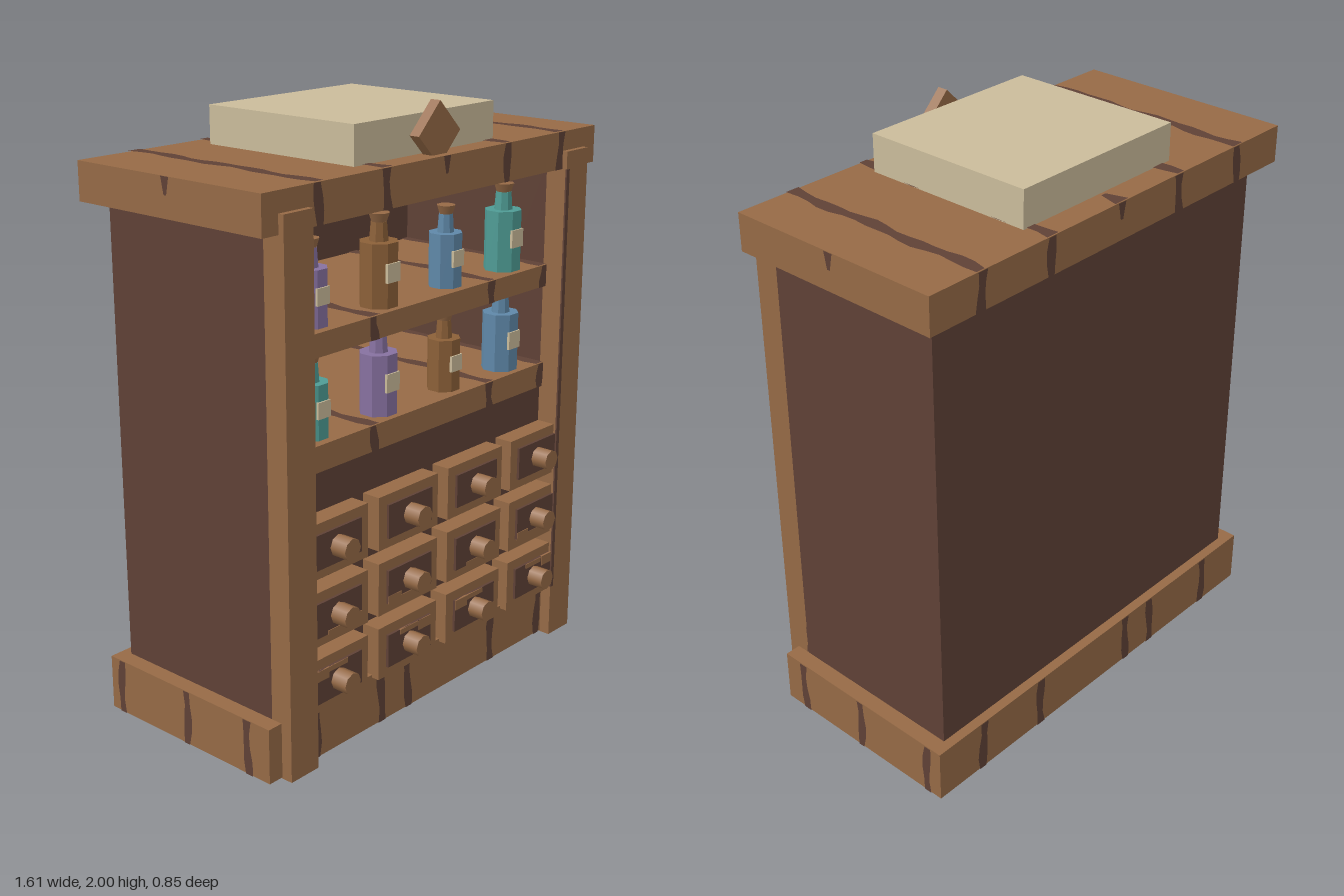
import * as THREE from 'three';

const mat = (name, color) => {
  const m = new THREE.MeshStandardMaterial({ color });
  m.name = name;
  return m;
};

export function createModel() {
  const wood = mat('wood', 0x966a46), dark = mat('dark wood', 0x5f4136), cream = mat('cream', 0xcbbc9b);
  const glass = {
    teal: mat('teal glass', 0x4f9c95), purple: mat('purple glass', 0x8771a0),
    amber: mat('amber glass', 0x8c6038), blue: mat('blue glass', 0x5f88a8),
  };
  for (const m of Object.values(glass)) m.flatShading = true;
  const model = new THREE.Group();
  model.name = 'apothecaryCabinet';

  const add = (name, geo, material, parent = model) => {
    const m = new THREE.Mesh(geo, material);
    m.name = name;
    parent.add(m);
    return m;
  };
  // Box given by its lower and upper corners
  const box = (name, material, x0, x1, y0, y1, z0, z1, parent) => {
    const m = add(name, new THREE.BoxGeometry(x1 - x0, y1 - y0, z1 - z0), material, parent);
    m.position.set((x0 + x1) / 2, (y0 + y1) / 2, (z0 + z1) / 2);
    return m;
  };
  // Wavy dark grain strip of given length, centred, standing along y and facing +z
  const grain = (length, width, seed) => {
    const n = Math.max(3, Math.ceil(length / 0.05)), left = [], right = [];
    for (let i = 0; i <= n; i++) {
      const y = (i / n - 0.5) * length, c = 0.006 * Math.sin(seed + i * 0.9);
      const w = width / 2 * (1 + 0.25 * Math.sin(seed * 3 + i * 1.7));
      left.push(new THREE.Vector2(c - w, y));
      right.unshift(new THREE.Vector2(c + w, y));
    }
    return new THREE.ShapeGeometry(new THREE.Shape([...right.reverse(), ...left.reverse()]));
  };
  const E = 0.003;
  const rows = [-0.575, -0.278, 0.31, 0.6];
  const frontGrain = (xs, y0, y1, z, back = false) => xs.forEach((x, i) => {
    const m = add('grain', grain(y1 - y0, 0.034, i + y0), dark);
    m.position.set(x, (y0 + y1) / 2, z + (back ? -E : E));
    if (back) m.rotation.y = Math.PI;
  });
  const topGrain = (xs, y, z0, z1) => xs.forEach((x, i) => {
    const m = add('grain', grain(z1 - z0, 0.04, i + y), dark);
    m.rotation.x = -Math.PI / 2;
    m.position.set(x, y + E, (z0 + z1) / 2);
  });
  const notch = (w, h) => new THREE.ShapeGeometry(new THREE.Shape([
    new THREE.Vector2(-w / 2, 0), new THREE.Vector2(-w / 6, -h),
    new THREE.Vector2(w / 6, -h), new THREE.Vector2(w / 2, 0)]));

  // Carcass
  for (const s of [-1, 1]) {
    const a = s * 0.615, b = s * 0.735;
    box('sidePanel', dark, Math.min(a, b), Math.max(a, b), 0.02, 1.72, -0.365, 0.29);
    box('frontPost', wood, Math.min(a, b), Math.max(a, b), 0, 1.77, 0.28, 0.37);
  }
  box('backPanel', dark, -0.62, 0.62, 0.1, 1.72, -0.365, -0.32);
  box('drawerCase', dark, -0.62, 0.62, 0.1, 0.94, -0.33, 0.29);
  box('postGrain', dark, 0.614, 0.63, 0.19, 1.71, 0.366, 0.372);

  // Base
  box('base', wood, -0.79, 0.79, 0.004, 0.19, -0.4, 0.33);
  box('underside', dark, -0.76, 0.76, 0, 0.005, -0.37, 0.3);
  const baseGrain = [-0.585, -0.275, -0.14, 0.31, 0.59];
  frontGrain(baseGrain, 0.004, 0.19, 0.33);
  frontGrain(baseGrain, 0.004, 0.19, -0.4, true);
  for (const s of [-1, 1]) for (const z of [0.24, -0.035, -0.345]) {
    const m = add('grain', grain(0.186, 0.03, z * 9), dark);
    m.rotation.y = s * Math.PI / 2;
    m.position.set(s * (0.79 + E), 0.097, z);
  }

  // Cornice
  box('cornice', wood, -0.8, 0.8, 1.71, 1.835, -0.425, 0.35);
  frontGrain(rows, 1.71, 1.835, 0.35);
  frontGrain(rows, 1.71, 1.835, -0.425, true);
  topGrain(rows, 1.835, -0.425, 0.35);
  const marks = [[0, 0.353, 0], [0, -0.428, Math.PI], [0.803, -0.035, Math.PI / 2], [-0.803, -0.035, -Math.PI / 2]];
  for (const [x, z, turn] of marks) {
    const m = add('grainNotch', notch(0.034, 0.055), dark);
    m.position.set(x, 1.835, z);
    m.rotation.y = turn;
  }
  const topNotch = add('grainNotch', notch(0.06, 0.07), dark);
  topNotch.rotation.x = -Math.PI / 2;
  topNotch.position.set(0, 1.835 + E, -0.425);

  // Crown block and diamond ornament
  box('crownBlock', cream, -0.335, 0.335, 1.835, 1.96, -0.34, 0.27);
  const diamond = add('diamond', new THREE.BoxGeometry(0.141, 0.141, 0.037), wood);
  diamond.position.set(0, 1.9, 0.303);
  diamond.rotation.z = Math.PI / 4;

  // Shelves
  for (const [y0, y1] of [[0.94, 1.025], [1.3, 1.375]]) {
    box('shelf', wood, -0.615, 0.615, y0, y1, -0.32, 0.3);
    frontGrain(rows, y0, y1, 0.3);
    topGrain(rows, y1, -0.32, 0.3);
  }

  // Drawers with raised dark panels and round knobs
  const knobGeo = new THREE.CylinderGeometry(0.036, 0.036, 0.06, 8);
  [0.72, 0.495, 0.27].forEach((y, r) => [-0.514, -0.172, 0.171, 0.512].forEach((x, c) => {
    const d = new THREE.Group();
    d.name = 'drawer';
    d.position.set(x, y, 0);
    model.add(d);
    box('drawerFront', wood, -0.145, 0.145, -0.09, 0.09, 0.28, 0.357, d);
    box('drawerPanel', dark, -0.107, 0.107, -0.057, 0.057, 0.35, 0.366, d);
    if (r > 0) {
      // Patches of lighter grain
      const s = (c + r) % 2 ? 1 : -1, v = r === 1 ? -1 : 1;
      const a = s * 0.045, b = s * 0.107;
      box('panelGrain', wood, Math.min(a, b), Math.max(a, b), v > 0 ? 0.022 : -0.057, v > 0 ? 0.057 : -0.03, 0.36, 0.368, d);
      box('panelGrain', wood, -0.05, 0.04, v > 0 ? 0.04 : -0.057, v > 0 ? 0.057 : -0.044, 0.36, 0.368, d);
    }
    const knob = add('knob', knobGeo, wood, d);
    knob.rotation.x = Math.PI / 2;
    knob.position.z = 0.395;
  }));

  // Bottles: faceted body, neck, flared stopper and label
  const bottle = (color, x, y, r, h) => {
    const g = new THREE.Group();
    g.name = 'bottle';
    g.position.set(x, y, 0.22);
    model.add(g);
    const tube = (name, r1, r0, y0, y1, m) => {
      const geo = new THREE.CylinderGeometry(r1, r0, y1 - y0, 8).rotateY(Math.PI / 8);
      add(name, geo, m, g).position.y = (y0 + y1) / 2;
    };
    tube('bottleBody', r, r, 0, h, glass[color]);
    tube('bottleNeck', r * 0.42, r * 0.5, h, h + 0.06, glass[color]);
    tube('stopper', r * 0.56, r * 0.4, h + 0.06, h + 0.088, wood);
    const f = r * Math.cos(Math.PI / 8), w = r * 0.48;
    box('label', cream, -w, w, h * 0.55 - w, h * 0.55 + w, f - 0.004, f + 0.005, g);
  };
  const xs = [-0.475, -0.165, 0.163, 0.47];
  ['purple', 'amber', 'blue', 'teal'].forEach((c, i) => bottle(c, xs[i], 1.375, i % 2 ? 0.063 : 0.056, i % 2 ? 0.205 : 0.178));
  ['teal', 'purple', 'amber', 'blue'].forEach((c, i) => bottle(c, xs[i], 1.025, i % 2 ? 0.063 : 0.056, i % 2 ? 0.2 : 0.175));

  return model;
}
